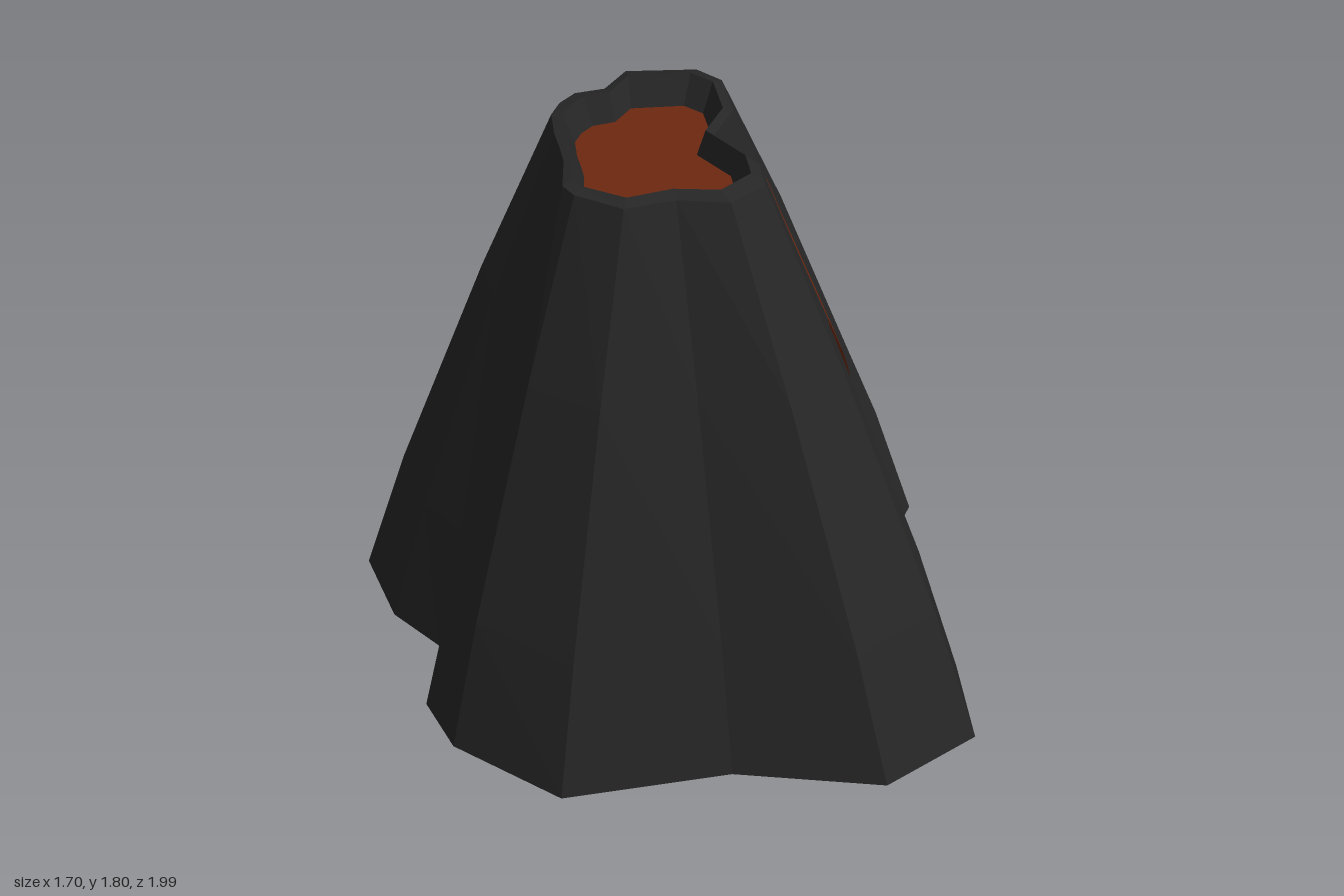
import * as THREE from 'three';

// Ridge lines around the cone: base x, y, z, then rim x, z
const RIDGES = [
  [0.38, 0.13, -1.0, 0.12, -0.32], [0.70, 0.11, -0.83, 0.19, -0.26],
  [0.76, 0.12, -0.43, 0.21, -0.10], [0.61, 0.14, -0.03, 0.14, 0.03],
  [0.83, 0.08, 0.36, 0.26, 0.19], [0.85, 0.10, 0.77, 0.27, 0.30],
  [0.57, 0.09, 0.99, 0.16, 0.39], [0.12, 0.09, 0.89, 0.0, 0.37],
  [-0.39, 0.06, 0.93, -0.16, 0.41], [-0.69, 0.11, 0.70, -0.30, 0.33],
  [-0.75, 0.11, 0.47, -0.33, 0.28], [-0.67, 0.06, 0.30, -0.32, 0.19],
  [-0.65, 0.0, 0.20, -0.315, 0.15], [-0.68, 0.06, 0.09, -0.32, 0.08],
  [-0.80, 0.09, -0.04, -0.33, 0.0], [-0.85, 0.09, -0.33, -0.33, -0.10],
  [-0.75, 0.09, -0.45, -0.30, -0.16], [-0.65, 0.09, -0.63, -0.25, -0.21],
  [-0.42, 0.10, -0.71, -0.16, -0.23], [-0.23, 0.11, -0.87, -0.09, -0.32],
  [0.02, 0.12, -0.93, 0.0, -0.32],
];
const CENTRE = { x: -0.06, z: 0.04 };

// Faceted skin through a list of rings
function loft(rings, closed = true) {
  const pos = [];
  const tri = (...pts) => pts.forEach((p) => pos.push(p.x, p.y, p.z));
  for (let r = 0; r < rings.length - 1; r++) {
    const lo = rings[r], hi = rings[r + 1], n = lo.length;
    for (let i = 0; i < (closed ? n : n - 1); i++) {
      const j = (i + 1) % n;
      if (!lo[i].equals(lo[j])) tri(lo[i], hi[j], lo[j]);
      if (!hi[i].equals(hi[j])) tri(lo[i], hi[i], hi[j]);
    }
  }
  const g = new THREE.BufferGeometry();
  g.setAttribute('position', new THREE.Float32BufferAttribute(pos, 3));
  g.computeVertexNormals();
  return g;
}

const V = (x, y, z) => new THREE.Vector3(x, y, z);

// Slope ring: height fraction h, horizontal blend b from base to rim
const slopeRing = (h, b) => RIDGES.map(([x, y, z, rx, rz]) => V(
  THREE.MathUtils.lerp(x, rx, b),
  THREE.MathUtils.lerp(y, 1.79 - 0.03 * rx, h),
  THREE.MathUtils.lerp(z, rz, b)));

// Crater ring: rim outline shrunk by s, at height y
const craterRing = (s, y) => RIDGES.map(([, , , rx, rz]) => V(
  CENTRE.x + (rx - CENTRE.x) * s, y, CENTRE.z + (rz - CENTRE.z) * s));

// Thin lava ribbon laid on the +x slope; path points are (z, y)
function stream(name, points, width, slope, material) {
  const path = new THREE.SplineCurve(points.map(([z, y]) => new THREE.Vector2(z, y)));
  const ray = new THREE.Raycaster();
  const rings = [];
  const steps = 28, across = 4;
  for (let i = 0; i <= steps; i++) {
    const t = i / steps, p = path.getPoint(t), d = path.getTangent(t);
    const w = width * (0.65 + 0.5 * Math.sin(Math.PI * t));
    const row = [];
    for (let k = 0; k <= across; k++) {
      const o = (k / across - 0.5) * w;
      const z = p.x - d.y * o, y = p.y + d.x * o;
      ray.set(V(2, y, z), V(-1, 0, 0));
      const hit = ray.intersectObject(slope)[0];
      row.push(V((hit ? hit.point.x : 0.2) + 0.008, y, z));
    }
    rings.push(row);
  }
  const mesh = new THREE.Mesh(loft(rings, false), material);
  mesh.name = name;
  return mesh;
}

export function createModel() {
  const rock = new THREE.MeshStandardMaterial({ color: 0x262626 });
  rock.name = 'dark rock';
  const lava = new THREE.MeshStandardMaterial({ color: 0x6e2810, side: THREE.DoubleSide });
  lava.name = 'lava';
  const group = new THREE.Group();
  group.name = 'volcano';

  // Underside, slopes, rim and crater wall
  const lavaEdge = craterRing(0.75, 1.72);
  const mountain = new THREE.Mesh(loft([
    RIDGES.map(() => V(0, 0.09, 0)),
    slopeRing(0, 0), slopeRing(0.23, 0.19), slopeRing(0.66, 0.62), slopeRing(1, 1),
    craterRing(0.88, 1.805), lavaEdge,
  ]), rock);
  mountain.name = 'mountain';
  group.add(mountain);

  // Lava pool in the crater
  const pool = new THREE.Mesh(
    loft([lavaEdge, RIDGES.map(() => V(CENTRE.x, 1.72, CENTRE.z))]), lava);
  pool.name = 'lavaPool';
  group.add(pool);

  // Two streams running down the left slope
  group.add(
    stream('longLavaStream', [[0.25, 1.77], [0.285, 1.66], [0.28, 1.45], [0.255, 1.2],
      [0.2, 0.94], [0.085, 0.71]], 0.04, mountain, lava),
    stream('shortLavaStream', [[0.1, 1.76], [0.085, 1.67], [0.03, 1.55], [-0.035, 1.45],
      [-0.075, 1.25], [-0.105, 0.97]], 0.04, mountain, lava));
  return group;
}
